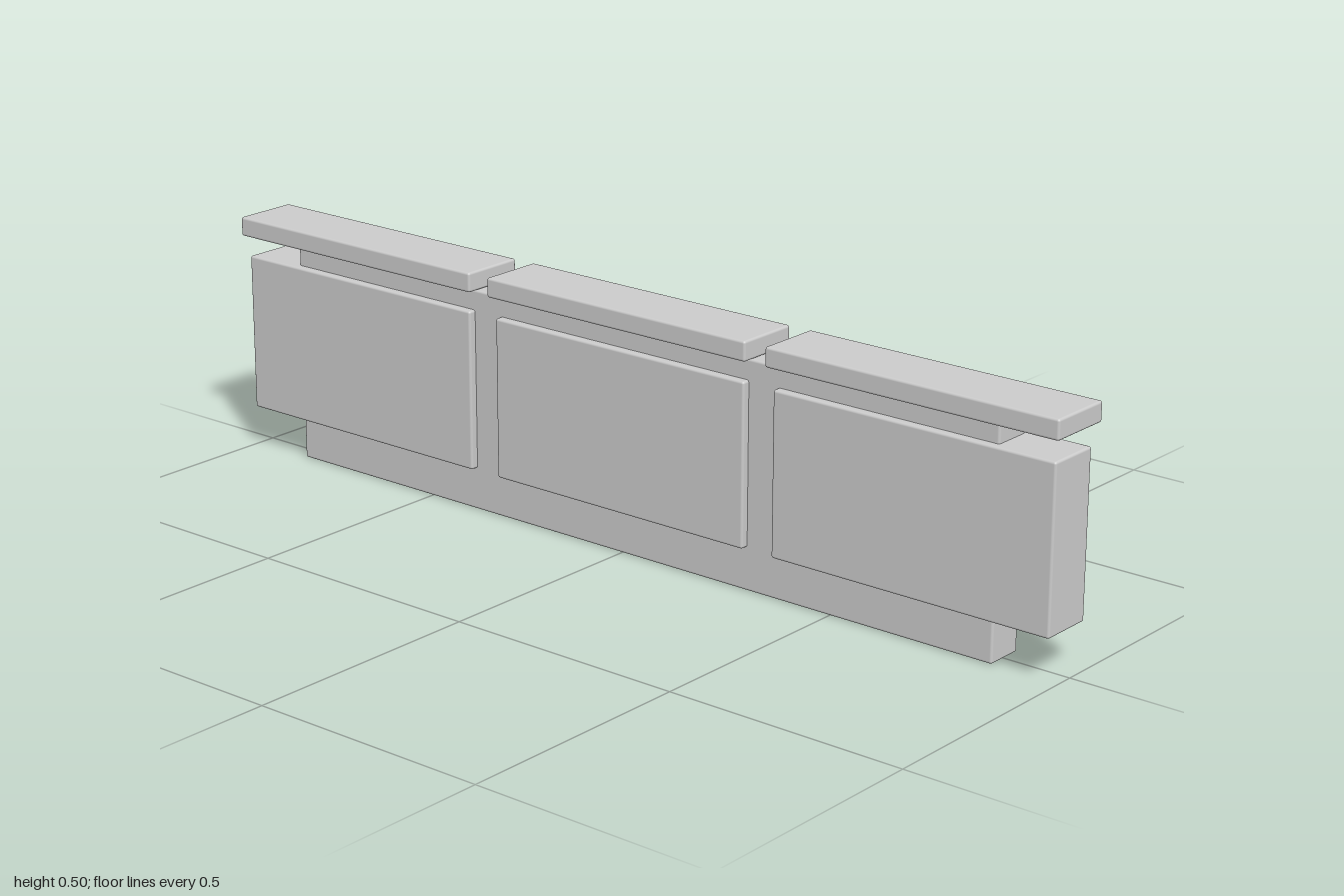
import * as THREE from 'three';
import { RoundedBoxGeometry } from 'three/addons/geometries/RoundedBoxGeometry.js';

const material = new THREE.MeshStandardMaterial({ color: 0xcccccc });

// Softly edged block, centred on z = 0, spanning y0 to y1
function block(name, x, width, y0, y1, depth) {
  const geometry = new RoundedBoxGeometry(width, y1 - y0, depth, 2, 0.005);
  const mesh = new THREE.Mesh(geometry, material);
  mesh.name = name;
  mesh.position.set(x, (y0 + y1) / 2, 0);
  return mesh;
}

export function createModel() {
  const wall = new THREE.Group();
  wall.name = 'wall';

  // Long thin core running through all the bays
  wall.add(block('core', 0, 1.722, 0, 0.456, 0.08));

  // Three bays, each a thicker panel with a coping slab above
  const pitch = 0.682;
  ['right', 'middle', 'left'].forEach((side, i) => {
    const x = (i - 1) * pitch;
    wall.add(block(side + 'Panel', x, 0.614, 0.087, 0.415, 0.112));
    wall.add(block(side + 'Coping', x, 0.636, 0.458, 0.498, 0.136));
  });

  return wall;
}
